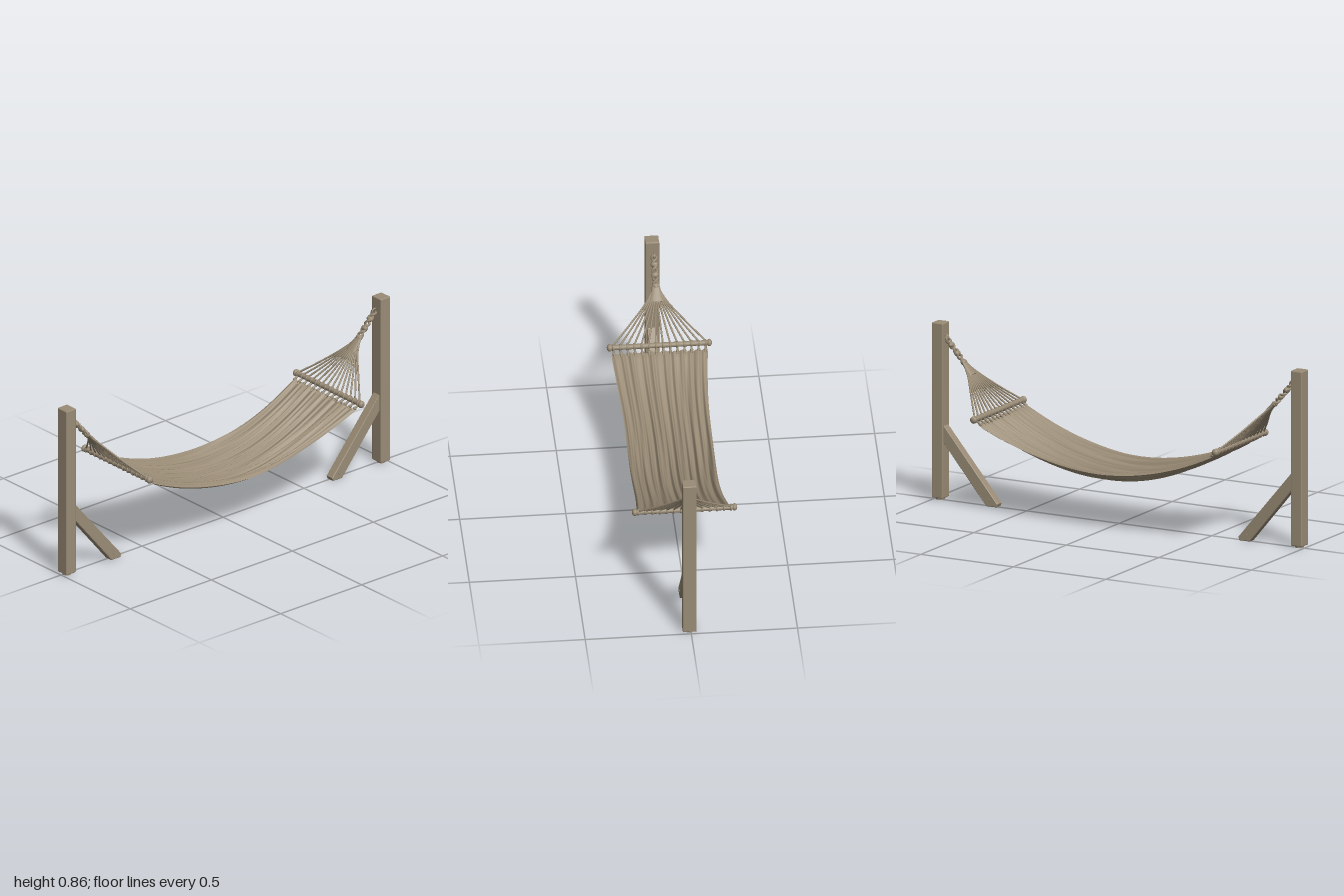
import * as THREE from 'three';
import { RoundedBoxGeometry } from 'three/addons/geometries/RoundedBoxGeometry.js';

const weathered = new THREE.MeshStandardMaterial({ color: 0x9a8c76 });
weathered.name = 'weathered tan';

const V = (x, y, z) => new THREE.Vector3(x, y, z);

function add(parent, name, geometry, position) {
  const mesh = new THREE.Mesh(geometry, weathered);
  mesh.name = name;
  if (position) mesh.position.copy(position);
  parent.add(mesh);
  return mesh;
}

// Straight round piece between two points
function rod(parent, name, a, b, r0, r1 = r0, sides = 8) {
  const mesh = add(parent, name, new THREE.CylinderGeometry(r1, r0, a.distanceTo(b), sides), a.clone().lerp(b, 0.5));
  mesh.quaternion.setFromUnitVectors(V(0, 1, 0), b.clone().sub(a).normalize());
  return mesh;
}

function rope(parent, name, points, radius, segments = 12) {
  return add(parent, name, new THREE.TubeGeometry(new THREE.CatmullRomCurve3(points), segments, radius, 7));
}

const CORDS = 14;
const cordZ = (i) => -0.21 + (0.42 * i) / (CORDS - 1);

// Pleated cloth, a closed skin swept along x
function clothGeometry() {
  const rows = 72, cols = 130, pos = [], index = [];
  const ripple = (v, x) =>
    0.0065 * Math.cos(v * 13 * Math.PI + 0.7 * Math.sin(3 * x + v * 4)) +
    0.0045 * Math.sin(v * 23 + 2.4 * Math.sin(x * 2.2 + v * 3)) +
    0.002 * Math.sin(v * 71 + x * 5);
  const ring = (cols + 1) * 2;
  for (let i = 0; i <= rows; i++) {
    const u = (i / rows) * 2 - 1;
    const x = u * 0.63;
    const half = 0.2 + 0.025 * u * u;
    const edgeY = 0.282 + 0.164 * Math.pow(Math.abs(u), 1.9);
    const sag = 0.042 * (1 - u * u);
    const taper = Math.sqrt(Math.max(0, 1 - Math.pow(u, 40)));
    for (let k = 0; k < ring; k++) {
      const top = k <= cols;
      const v = ((top ? k : ring - 1 - k) / cols) * 2 - 1;
      const thick = 0.0055 * Math.sqrt(Math.max(0, 1 - Math.pow(v, 30))) * taper;
      const y = edgeY - sag * (1 - Math.pow(Math.abs(v), 2.6)) + ripple(v, x) * (1 - 0.35 * u * u);
      pos.push(x, y + (top ? thick : -thick), v * half + 0.003 * Math.sin(x * 9 + v));
    }
  }
  for (let i = 0; i < rows; i++) {
    for (let k = 0; k < ring; k++) {
      const a = i * ring + k, c = i * ring + ((k + 1) % ring);
      index.push(a, c, a + ring, c, c + ring, a + ring);
    }
  }
  const g = new THREE.BufferGeometry();
  g.setAttribute('position', new THREE.Float32BufferAttribute(pos, 3));
  g.setIndex(index);
  g.computeVertexNormals();
  return g;
}

// Post, brace, ropes and spreader bar at one end
function buildEnd(side) {
  const end = new THREE.Group();
  end.name = side > 0 ? 'leftEnd' : 'rightEnd';
  const z0 = side * 0.007;

  add(end, 'post', new RoundedBoxGeometry(0.06, 0.845, 0.066, 2, 0.005), V(0.97, 0.4325, z0));

  // Diagonal brace, cut flat at the ground
  const outline = [[0.95, 0.372], [0.65, 0.016], [0.656, 0], [0.712, 0], [0.95, 0.287]];
  const braceShape = new THREE.Shape(outline.map(([x, y]) => new THREE.Vector2(x, y)));
  const brace = new THREE.ExtrudeGeometry(braceShape, {
    depth: 0.038, bevelSize: 0.003, bevelThickness: 0.003, bevelOffset: -0.003, bevelSegments: 1,
  });
  add(end, 'brace', brace, V(0, 0, z0 - 0.019));
  for (const s of [-1, 1]) {
    const bolt = add(end, 'braceBolt', new THREE.CylinderGeometry(0.006, 0.006, 0.004, 10), V(0.695, 0.03, z0 + s * 0.0225));
    bolt.rotation.x = Math.PI / 2;
  }

  // Eye on the post and the twisted, knotted hanging rope
  const start = V(0.938, 0.788, 0), apex = V(0.835, 0.672, 0);
  add(end, 'postEye', new THREE.TorusGeometry(0.013, 0.004, 8, 16), V(0.935, 0.785, 0));
  const along = apex.clone().sub(start).normalize();
  const across = V(-along.y, along.x, 0);
  for (const phase of [0, Math.PI]) {
    const pts = [];
    for (let i = 0; i <= 32; i++) {
      const t = i / 32, a = t * Math.PI * 5 + phase;
      const p = start.clone().lerp(apex, t).addScaledVector(across, 0.008 * Math.cos(a));
      p.z += 0.011 * Math.sin(a);
      pts.push(p);
    }
    rope(end, 'hangingRope', pts, 0.006, 64);
  }
  for (const t of [0.3, 0.62, 0.95]) {
    const knot = add(end, 'knot', new THREE.SphereGeometry(0.014, 12, 8), start.clone().lerp(apex, t));
    knot.scale.set(1, 1, 1.35);
  }

  // Flattened wrap where the fan cords gather
  const wrap = rod(end, 'cordWrap', V(0.79, 0.622, 0), V(0.845, 0.685, 0), 0.011, 0.009, 12);
  const wp = wrap.geometry.attributes.position;
  for (let i = 0; i < wp.count; i++) wp.setZ(i, wp.getZ(i) * (wp.getY(i) < 0 ? 3.2 : 1.8));
  wrap.geometry.computeVertexNormals();

  // Spreader bar with knobbed ends
  const barX = 0.653, barY = 0.469;
  rod(end, 'spreaderBar', V(barX, barY, -0.238), V(barX, barY, 0.238), 0.0125, 0.0125, 14);
  for (const s of [-1, 1]) {
    const knob = add(end, 'barKnob', new THREE.SphereGeometry(0.0175, 14, 10), V(barX, barY, s * 0.235));
    knob.scale.z = 0.75;
  }

  // Fan cords, bar loops and short ties to the cloth
  for (let i = 0; i < CORDS; i++) {
    const z = cordZ(i);
    rope(end, 'fanCord', [
      V(0.832, 0.668, z * 0.06), V(0.795, 0.629, z * 0.2), V(0.725, 0.548, z * 0.62), V(barX + 0.004, barY + 0.008, z * 1.04),
    ], 0.0045);
    const loop = add(end, 'barLoop', new THREE.TorusGeometry(0.0125, 0.0042, 6, 14), V(barX, barY, z * 1.04));
    loop.scale.z = 1.3;
    rope(end, 'clothTie', [V(barX, barY - 0.008, z * 1.04), V(0.637, 0.455, z * 1.03), V(0.615, 0.44, z * 1.02)], 0.0055, 6);
    add(end, 'tieKnot', new THREE.SphereGeometry(0.0085, 8, 6), V(0.628, 0.449, z * 1.03));
  }

  if (side < 0) end.rotation.y = Math.PI;
  return end;
}

export function createModel() {
  const model = new THREE.Group();
  model.name = 'hammock';
  add(model, 'cloth', clothGeometry());
  for (const side of [1, -1]) {
    const end = buildEnd(side);
    // Small pad under the post
    add(end, 'postFoot', new THREE.CylinderGeometry(0.02, 0.02, 0.012, 12), V(0.97, 0.006, side * 0.007));
    model.add(end);
  }
  return model;
}
